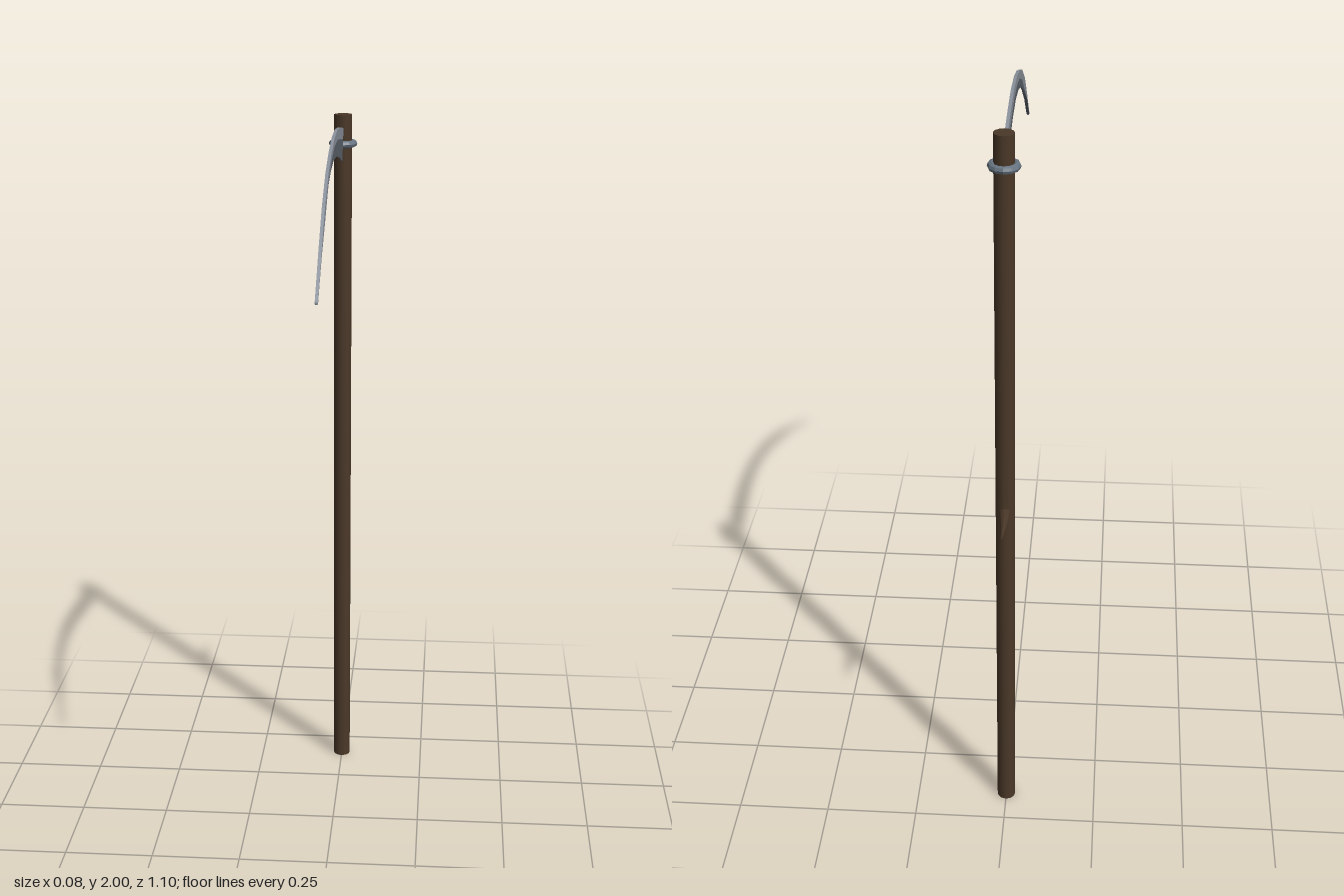
import * as THREE from 'three';

const wood = new THREE.MeshStandardMaterial({ name: 'dark wood', color: 0x4a3828 });
const steel = new THREE.MeshStandardMaterial({ name: 'light steel', color: 0x8b929c });
const edgeSteel = new THREE.MeshStandardMaterial({ name: 'dark steel', color: 0x606770 });
const iron = new THREE.MeshStandardMaterial({ name: 'iron', color: 0x667380 });
for (const m of [wood, iron, steel, edgeSteel]) m.flatShading = m !== wood;

const POLE_Z = -0.4;

// Blade stations: z, spine y, ridge y, cutting edge y
const stations = [
  [-0.343, 1.970, 1.939, 1.878],
  [-0.236, 1.986, 1.955, 1.905],
  [-0.114, 1.997, 1.970, 1.927],
  [0.000, 1.990, 1.968, 1.933],
  [0.103, 1.970, 1.950, 1.920],
  [0.210, 1.936, 1.909, 1.890],
  [0.330, 1.872, 1.835, 1.830],
  [0.437, 1.788, 1.773, 1.770],
  [0.549, 1.692, 1.688, 1.686],
];

function facesMesh(name, positions, material) {
  const g = new THREE.BufferGeometry();
  g.setAttribute('position', new THREE.Float32BufferAttribute(positions, 3));
  g.computeVertexNormals();
  const mesh = new THREE.Mesh(g, material);
  mesh.name = name;
  return mesh;
}

function createBlade() {
  const body = [], edge = [];
  const quad = (out, a, b, c, d) => out.push(...a, ...b, ...c, ...a, ...c, ...d);
  // Six-point section: flat sides below the spine, then a bevel to the edge
  const rings = stations.map(([z, top, mid, low]) => [
    [0.004, top, z], [0.004, mid, z], [0.0012, low, z],
    [-0.0012, low, z], [-0.004, mid, z], [-0.004, top, z],
  ]);
  for (let i = 0; i < rings.length - 1; i++) {
    const p = rings[i], q = rings[i + 1];
    for (let k = 0; k < 6; k++) {
      const n = (k + 1) % 6;
      quad(k >= 1 && k <= 3 ? edge : body, p[k], q[k], q[n], p[n]);
    }
  }
  // Close the root and the tip
  const r = rings[0], t = rings[rings.length - 1];
  quad(body, r[0], r[1], r[4], r[5]);
  quad(edge, r[1], r[2], r[3], r[4]);
  quad(body, t[5], t[4], t[1], t[0]);
  quad(edge, t[4], t[3], t[2], t[1]);

  const blade = new THREE.Group();
  blade.name = 'blade';
  blade.add(facesMesh('bladeBody', body, steel), facesMesh('cuttingEdge', edge, edgeSteel));
  return blade;
}

export function createModel() {
  const model = new THREE.Group();
  model.name = 'scythe';

  // Long straight pole
  const pole = new THREE.Mesh(new THREE.CylinderGeometry(0.025, 0.025, 2, 12), wood);
  pole.name = 'pole';
  pole.position.set(0, 1, POLE_Z);

  // Binding ring near the top
  const ring = new THREE.Mesh(new THREE.TorusGeometry(0.03, 0.01, 8, 12), iron);
  ring.name = 'ring';
  ring.rotation.x = Math.PI / 2;
  ring.position.set(0, 1.92, POLE_Z);

  // Pointed hand peg at the back
  const peg = new THREE.Mesh(new THREE.ConeGeometry(0.018, 0.147, 8), wood);
  peg.name = 'handPeg';
  peg.rotation.x = -Math.PI / 2;
  peg.position.set(0, 0.98, POLE_Z - 0.0735);

  model.add(pole, ring, peg, createBlade());
  return model;
}
